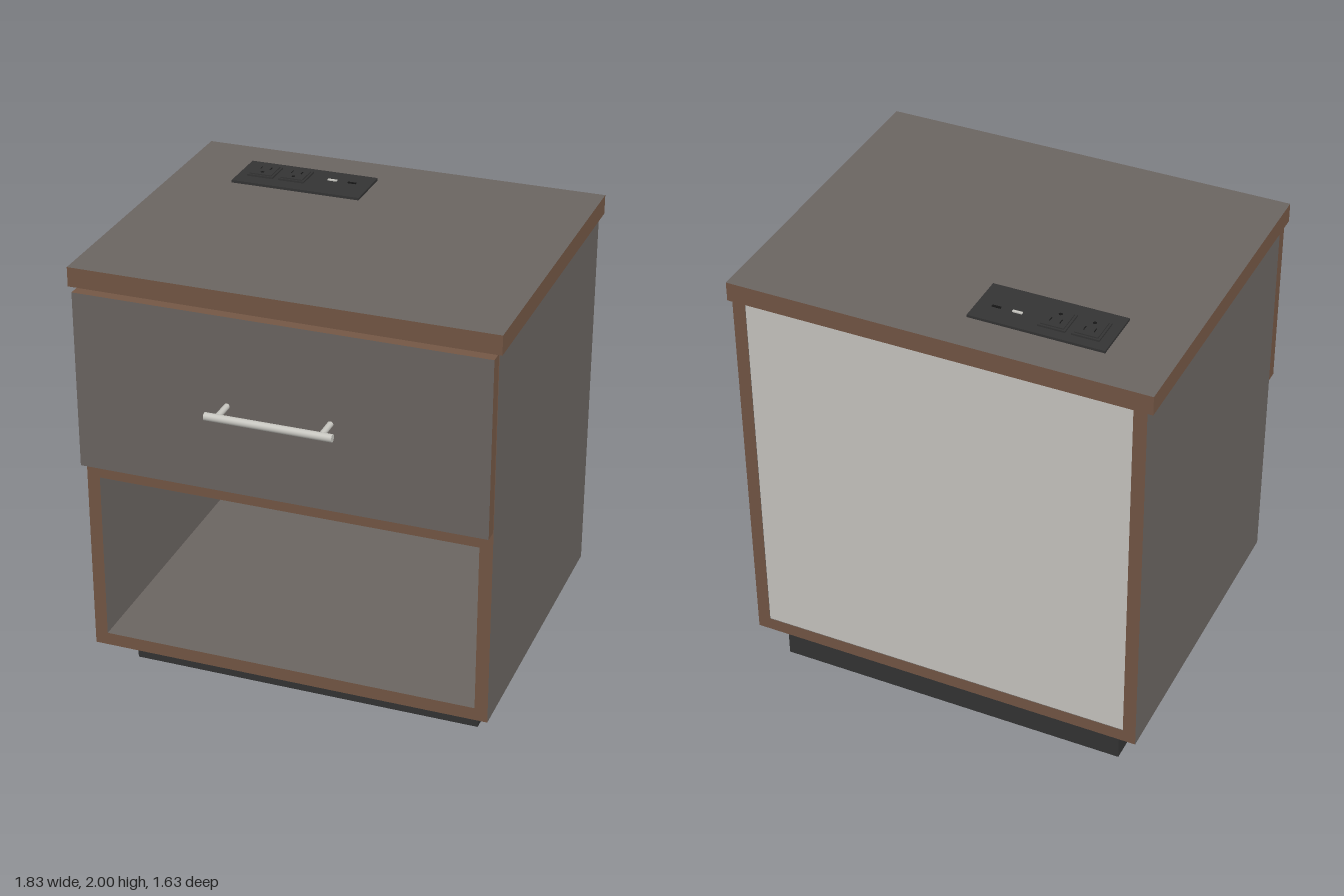
import * as THREE from 'three';

const mat = (name, color) => {
  const m = new THREE.MeshStandardMaterial({ color });
  m.name = name;
  return m;
};

export function createModel() {
  const laminate = mat('grey laminate', 0x6b6561);
  const wood = mat('brown edge banding', 0x745745);
  const panel = mat('light back panel', 0xcac8c3);
  const black = mat('black plastic', 0x343434);
  const dark = mat('dark slot', 0x161616);
  const metal = mat('brushed metal', 0xc6c5bf);

  const group = new THREE.Group();
  const add = (name, geometry, material, parent = group) => {
    const mesh = new THREE.Mesh(geometry, material);
    mesh.name = name;
    parent.add(mesh);
    return mesh;
  };
  // Box given by its extents on each axis
  const box = (name, [x0, x1], [y0, y1], [z0, z1], material, parent) => {
    const mesh = add(name, new THREE.BoxGeometry(x1 - x0, y1 - y0, z1 - z0), material, parent);
    mesh.position.set((x0 + x1) / 2, (y0 + y1) / 2, (z0 + z1) / 2);
    return mesh;
  };
  // Laminated board: grey on the two broad faces, brown on the edges
  const faces = (axis) => Array.from({ length: 6 }, (_, i) => (i >> 1 === axis ? laminate : wood));

  // Carcass
  const back = -0.817, front = 0.63, inner = 0.835;
  box('plinth', [-0.79, 0.79], [0, 0.178], [-0.745, 0.425], black);
  for (const s of [-1, 1]) {
    const xs = s > 0 ? [inner, 0.892] : [-0.892, -inner];
    box(s > 0 ? 'leftSide' : 'rightSide', xs, [0.178, 1.89], [back, front], faces(0));
  }
  box('bottomBoard', [-inner, inner], [0.178, 0.236], [back, front], faces(1));
  box('shelf', [-inner, inner], [1.006, 1.065], [back + 0.03, front], faces(1));
  box('backPanel', [-inner, inner], [0.236, 1.89], [back + 0.003, back + 0.028], panel);
  box('cableCover', [-0.265, 0.4], [0.988, 1.15], [back + 0.028, back + 0.034], panel);
  box('top', [-0.915, 0.915], [1.89, 1.975], [back, 0.67], faces(1));

  // Drawer front with bar handle
  box('drawerFront', [-0.89, 0.89], [1.085, 1.876], [front, 0.69], faces(2));
  const handle = new THREE.Group();
  handle.name = 'handle';
  handle.position.set(0, 1.48, 0.8);
  group.add(handle);
  add('handleBar', new THREE.CylinderGeometry(0.017, 0.017, 0.545, 24), metal, handle).rotation.z = Math.PI / 2;
  for (const x of [-0.222, 0.222]) {
    const post = add('handlePost', new THREE.CylinderGeometry(0.013, 0.013, 0.11, 20), metal, handle);
    post.rotation.x = Math.PI / 2;
    post.position.set(x, 0, -0.055);
  }

  // Power outlet set on the top
  const outlet = new THREE.Group();
  outlet.name = 'powerOutlet';
  group.add(outlet);
  box('outletPlate', [-0.64, -0.055], [1.975, 1.986], [-0.635, -0.393], black, outlet);
  for (const x of [-0.537, -0.393]) {
    box('socket', [x - 0.059, x + 0.059], [1.986, 1.994], [-0.59, -0.463], black, outlet);
    box('socketFace', [x - 0.05, x + 0.05], [1.994, 1.999], [-0.582, -0.471], black, outlet);
    add('groundHole', new THREE.CylinderGeometry(0.008, 0.008, 0.001, 16), dark, outlet)
      .position.set(x, 1.9995, -0.496);
    for (const dx of [-0.022, 0.022])
      box('socketSlot', [x + dx - 0.002, x + dx + 0.002], [1.999, 2], [-0.555, -0.53], dark, outlet);
  }
  // Charging ports
  box('chargingPort', [-0.25, -0.207], [1.986, 1.991], [-0.545, -0.533], metal, outlet);
  box('smallChargingPort', [-0.157, -0.12], [1.986, 1.99], [-0.544, -0.534], dark, outlet);

  return group;
}
